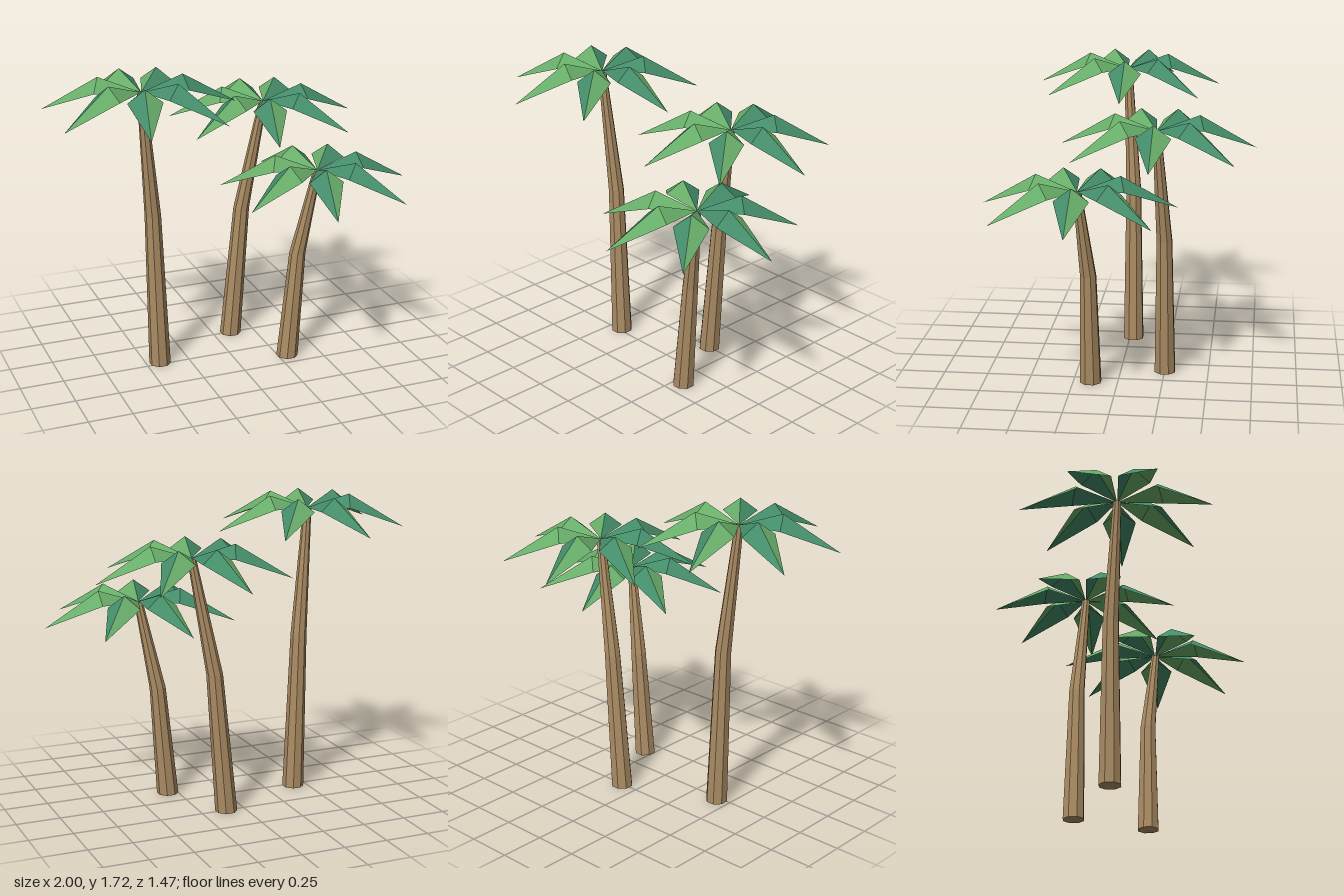
import * as THREE from 'three';

const LEAVES = 7;

// One half of a folded leaf pointing along +x; side -1 or +1 picks the z side.
function leafHalf(side) {
  const base = [0, 0, 0], ridge = [0.235, 0.08, 0], tip = [0.545, -0.105, 0];
  const edge = [0.24, 0.01, 0.094 * side];
  const tris = side < 0
    ? [base, ridge, edge, ridge, tip, edge]
    : [base, edge, ridge, ridge, edge, tip];
  const g = new THREE.BufferGeometry();
  g.setAttribute('position', new THREE.Float32BufferAttribute(tris.flat(), 3));
  g.computeVertexNormals();
  return g;
}

// Tapered trunk bent once, passing through [x, y, z, radius] stations.
function trunkGeometry(stations) {
  const g = new THREE.CylinderGeometry(1, 1, 2, 8, 2);
  g.rotateY(Math.PI / 8);
  const p = g.attributes.position;
  for (let i = 0; i < p.count; i++) {
    const [x, y, z, r] = stations[Math.round(p.getY(i) + 1)];
    p.setXYZ(i, x + p.getX(i) * r, y, z + p.getZ(i) * r);
  }
  g.computeVertexNormals();
  return g;
}

export function createModel() {
  const material = (name, color) => {
    const m = new THREE.MeshStandardMaterial({ color, flatShading: true, side: THREE.DoubleSide });
    m.name = name;
    return m;
  };
  const bark = material('bark brown', 0xac8d64);
  const light = material('leaf green', 0x68ad69);
  const dark = material('leaf teal green', 0x448c69);

  const halves = [
    { name: 'leafLeftHalf', geometry: leafHalf(-1), mat: light },
    { name: 'leafRightHalf', geometry: leafHalf(1), mat: dark },
  ];

  // Base, bend and top of each trunk
  const palms = [
    { name: 'tallPalm', stations: [[-0.42, 0, -0.022, 0.062], [-0.447, 0.917, -0.018, 0.046], [-0.51, 1.64, 0.02, 0.024]] },
    { name: 'middlePalm', stations: [[0.107, 0, -0.252, 0.062], [0.174, 0.8, -0.248, 0.046], [0.29, 1.445, -0.21, 0.024]] },
    { name: 'shortPalm', stations: [[0.305, 0, 0.152, 0.062], [0.358, 0.64, 0.155, 0.046], [0.45, 1.14, 0.2, 0.024]] },
  ];

  const model = new THREE.Group();
  model.name = 'palmTrees';
  for (const { name, stations } of palms) {
    const palm = new THREE.Group();
    palm.name = name;

    const trunk = new THREE.Mesh(trunkGeometry(stations), bark);
    trunk.name = 'trunk';
    palm.add(trunk);

    // Crown of evenly spread leaves
    const crown = new THREE.Group();
    crown.name = 'crown';
    crown.position.set(...stations[2].slice(0, 3));
    for (let i = 0; i < LEAVES; i++) {
      const leaf = new THREE.Group();
      leaf.name = 'leaf';
      leaf.rotation.y = (i * 2 * Math.PI) / LEAVES;
      for (const h of halves) {
        const mesh = new THREE.Mesh(h.geometry, h.mat);
        mesh.name = h.name;
        leaf.add(mesh);
      }
      crown.add(leaf);
    }
    palm.add(crown);
    model.add(palm);
  }
  return model;
}
